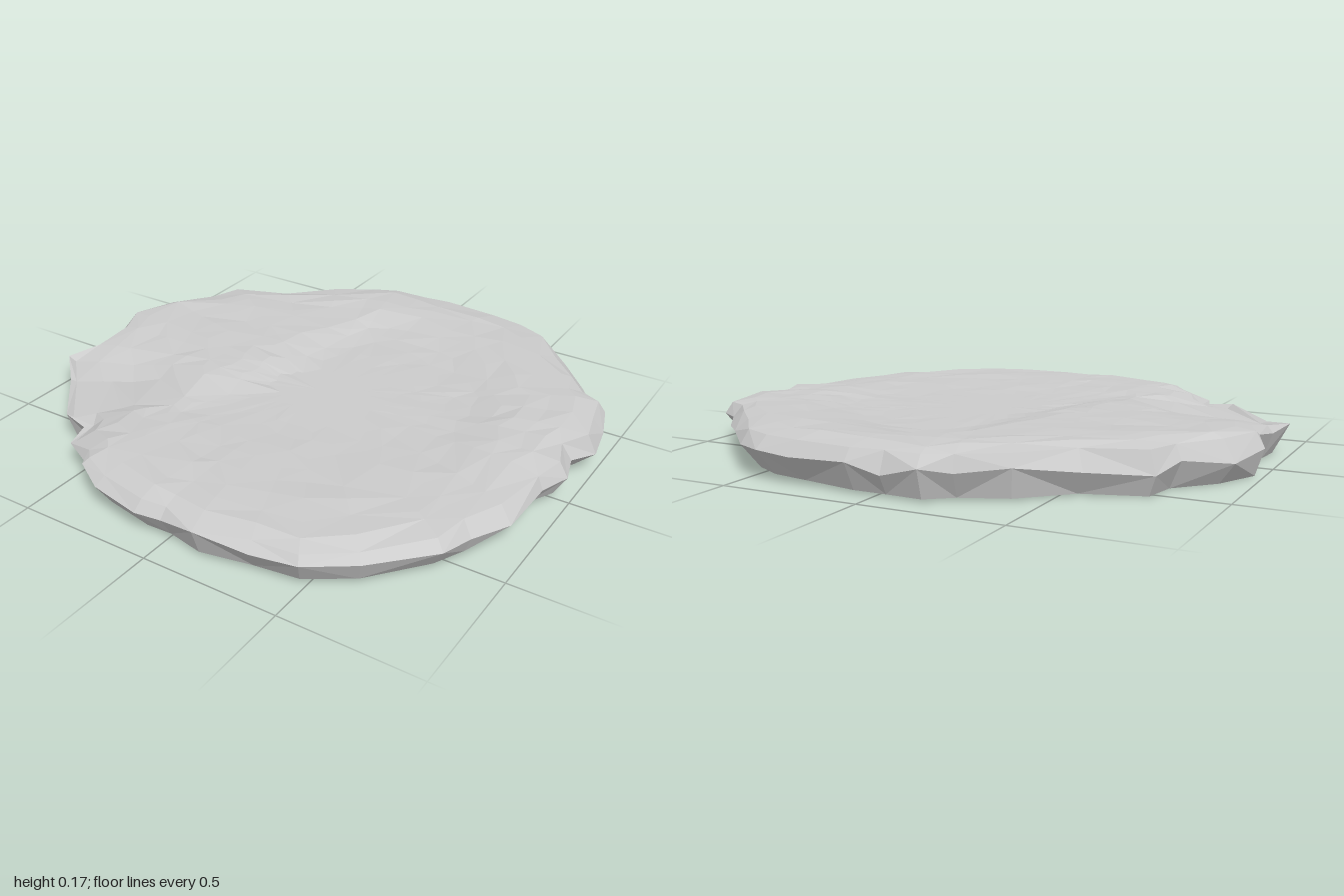
import * as THREE from 'three';

// Irregular rim, as [x, z] pairs running counter-clockwise seen from above
const OUTLINE = [
  [1, -0.22], [0.98, -0.34], [0.94, -0.46], [0.87, -0.5], [0.8, -0.6], [0.68, -0.72], [0.55, -0.85],
  [0.44, -0.91], [0.3, -0.93], [0.08, -0.94], [-0.04, -0.93], [-0.17, -0.93], [-0.26, -0.87],
  [-0.41, -0.78], [-0.58, -0.64], [-0.78, -0.55], [-0.82, -0.43], [-0.95, -0.29], [-1, -0.12],
  [-0.95, 0], [-0.96, 0.15], [-0.99, 0.27], [-0.88, 0.38], [-0.69, 0.6], [-0.59, 0.62], [-0.56, 0.72],
  [-0.45, 0.77], [-0.41, 0.82], [-0.3, 0.88], [-0.1, 0.92], [0, 0.91], [0.14, 0.93], [0.34, 0.91],
  [0.5, 0.88], [0.65, 0.77], [0.83, 0.59], [0.86, 0.46], [0.93, 0.32], [0.94, 0.1], [0.985, 0], [0.95, -0.12],
];

// Small repeatable noise in -1..1
const noise = (a, b) => {
  const s = Math.sin(a * 127.1 + b * 311.7) * 43758.5453;
  return (s - Math.floor(s)) * 2 - 1;
};
const step = (v, a, b) => THREE.MathUtils.smoothstep(v, a, b);

// Height of the worn upper face: shallow dish, back rim, left shelf and a hollow
function topHeight(x, z) {
  const r = Math.hypot(x, z);
  let y = 0.133 + 0.01 * step(z, 0.2, 0.6);
  const rim = step(r, 0.5, 0.75);
  y += 0.032 * rim * step(-z, -0.5, 0.3);
  // shelf on the left, dropping to the dish along a curved ridge
  const ridge = -0.24 - 0.22 * z;
  const shelf = 1 - step(x, ridge - 0.09, ridge + 0.09);
  y = Math.max(y, y + 0.03 * shelf * (1 - rim) * (1 - step(z, 0.1, 0.4)));
  // hollow at the front left
  y -= 0.045 * step(z, 0, 0.35) * (1 - step(x, -0.65, -0.4));
  return y;
}

function createSlab() {
  const n = OUTLINE.length;
  const rings = [];
  const addRing = (fn) => rings.push(OUTLINE.map(([x, z], i) => fn(x, z, i)));
  const baseY = (x) => 0.011 + 0.01 * x;

  // flat underside
  addRing(() => [0, baseY(0), 0]);
  addRing((x, z, i) => {
    const s = 0.955 + 0.015 * noise(i, 1) - 0.035 * step(x - z, 0.8, 1.3);
    return [x * s, baseY(x), z * s];
  });
  // chipped side wall, widest near mid height
  addRing((x, z, i) => {
    const y = 0.095 + 0.022 * noise(i, 2);
    return [x, y, z];
  });
  // bevelled shoulder
  addRing((x, z, i) => {
    const s = 0.965 + 0.015 * noise(i, 3);
    const y = Math.min(0.15, topHeight(x * s, z * s) - 0.008 + 0.008 * noise(i, 4));
    return [x * s, y - 0.014 * step(z, 0.5, 0.9), z * s];
  });
  // upper face, shrinking rings toward the middle
  [0.89, 0.81, 0.73, 0.64, 0.55, 0.46, 0.37, 0.28, 0.17].forEach((s, k) => {
    addRing((x, z, i) => {
      const t = s + 0.025 * noise(i, 10 + k);
      const px = x * t, pz = z * t;
      return [px, topHeight(px, pz) + 0.004 * noise(i, 30 + k) * step(s, 0.1, 0.8), pz];
    });
  });
  addRing(() => [0, topHeight(0, 0), 0]);

  // stitch neighbouring rings
  const index = [];
  for (let k = 0; k < rings.length - 1; k++) {
    for (let i = 0; i < n; i++) {
      const j = (i + 1) % n;
      const a = k * n + i, b = k * n + j, c = b + n, d = a + n;
      if (k === 0) index.push(a, c, d);
      else if (k === rings.length - 2) index.push(a, b, c);
      else if ((i + k) % 2) index.push(a, b, c, a, c, d);
      else index.push(a, b, d, b, c, d);
    }
  }
  const geometry = new THREE.BufferGeometry();
  geometry.setAttribute('position', new THREE.Float32BufferAttribute(rings.flat(2), 3));
  geometry.setIndex(index);
  const faceted = geometry.toNonIndexed();
  faceted.computeVertexNormals();
  return faceted;
}

export function createModel() {
  const group = new THREE.Group();
  group.name = 'flatRock';
  const material = new THREE.MeshStandardMaterial({ color: 0xcccccc, flatShading: true });
  const slab = new THREE.Mesh(createSlab(), material);
  slab.name = 'stoneSlab';
  group.add(slab);
  return group;
}
